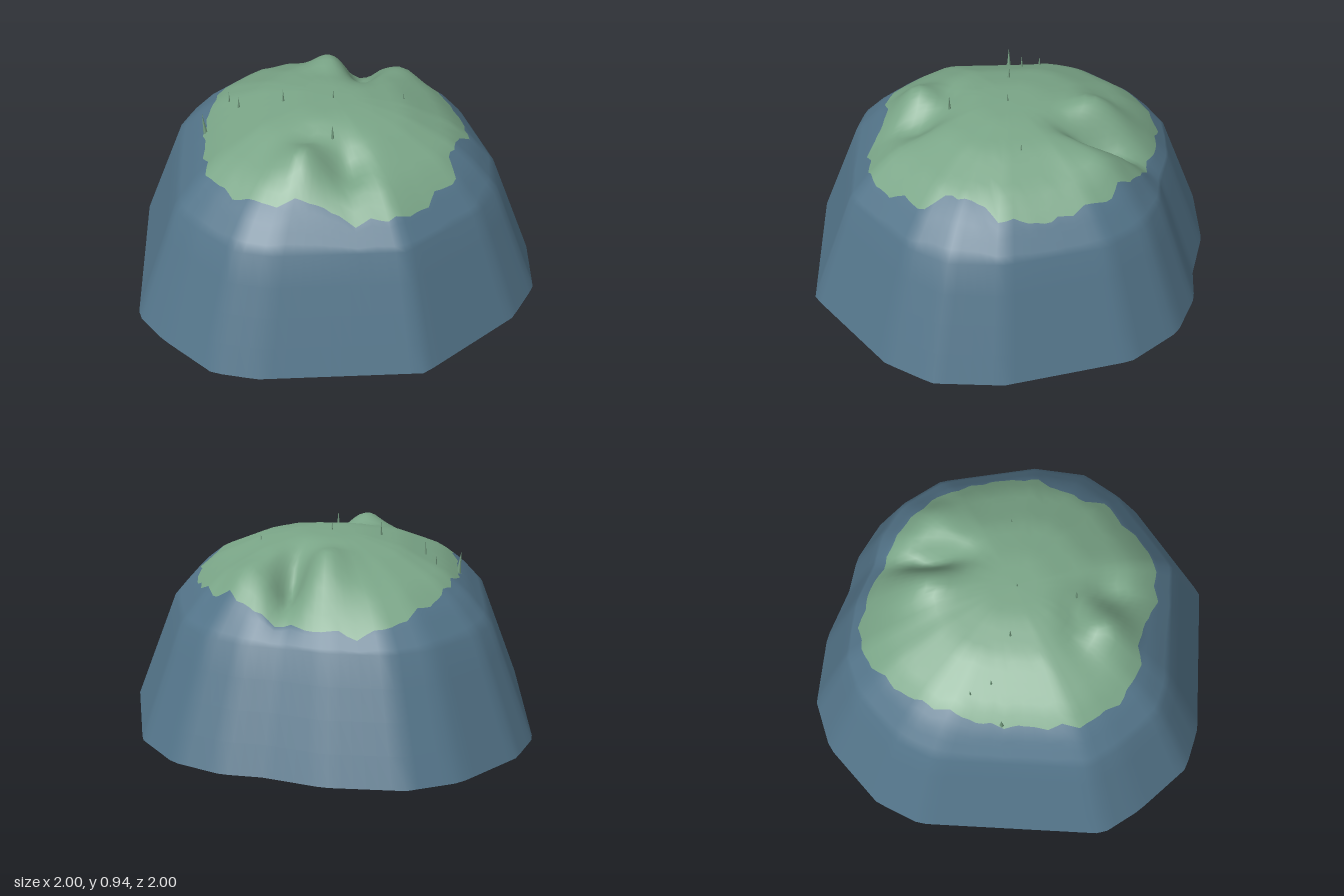
import * as THREE from 'three';

const grass = new THREE.MeshStandardMaterial({ color: 0x7aa587, side: THREE.DoubleSide });
grass.name = 'grass green';
const rock = new THREE.MeshStandardMaterial({ color: 0x537489, side: THREE.DoubleSide });
rock.name = 'slate blue';

// Outlines as [x, z] corners around the hill
const base = [[1, 0], [0.995, 0.33], [0.87, 0.56], [0.43, 0.95], [-0.33, 1], [-0.54, 0.96], [-0.79, 0.74],
  [-0.93, 0.57], [-1, -0.36], [-0.92, -0.59], [-0.67, -0.88], [-0.44, -0.99], [-0.08, -1], [0.2, -0.93],
  [0.39, -0.92], [0.63, -0.82], [0.83, -0.59]];
const grassEdge = [[0.66, 0.02], [0.61, 0.1], [0.55, 0.25], [0.57, 0.39], [0.48, 0.47], [0.38, 0.61], [0.25, 0.66],
  [0.1, 0.68], [0, 0.65], [-0.1, 0.61], [-0.25, 0.63], [-0.4, 0.58], [-0.5, 0.49], [-0.58, 0.38], [-0.61, 0.2],
  [-0.63, -0.05], [-0.6, -0.22], [-0.55, -0.42], [-0.45, -0.58], [-0.33, -0.7], [-0.18, -0.735], [0, -0.71],
  [0.14, -0.66], [0.27, -0.63], [0.5, -0.45], [0.63, -0.2]];

// Distance from the centre to an outline along an angle
function reach(outline, angle) {
  const c = Math.cos(angle), s = Math.sin(angle);
  for (let i = 0; i < outline.length; i++) {
    const [ax, az] = outline[i], [bx, bz] = outline[(i + 1) % outline.length];
    const ex = bx - ax, ez = bz - az;
    const det = c * ez - s * ex;
    const u = (s * ax - c * az) / det;
    const r = (ax * ez - az * ex) / det;
    if (r > 0 && u >= -1e-6 && u <= 1 + 1e-6) return r;
  }
  return 1;
}

// Hill height: a stepped profile with bumps and gullies
const profile = [[0, 0.9], [0.16, 0.897], [0.35, 0.86], [0.57, 0.76], [0.68, 0.67], [0.79, 0.545], [1, 0.004]];
const bumps = [ // x, z, height, width, length
  [-0.03, -0.43, 0.07, 0.1, 0.12], [0.14, -0.43, -0.13, 0.07, 0.17], [0.35, -0.44, 0.04, 0.1, 0.14],
  [-0.13, 0.47, 0.075, 0.1, 0.09], [0.07, 0.43, -0.06, 0.09, 0.12], [-0.1, 0.3, -0.03, 0.12, 0.06]];
function height(x, z, t) {
  let k = 1;
  while (k < profile.length - 1 && t > profile[k][0]) k++;
  const [a, ya] = profile[k - 1], [b, yb] = profile[k];
  let y = ya + (yb - ya) * (t - a) / (b - a);
  if (t < 0.95) {
    for (const [bx, bz, h, w, l] of bumps) y += h * Math.exp(-(((x - bx) / w) ** 2) - ((z - bz) / l) ** 2);
  }
  return Math.min(y, 0.9);
}

// Rings from the summit to the foot; grass and rock share one smooth skin
function hill() {
  const sectors = 120, grassRings = 14, slopeRings = 5, footRings = 4;
  const rings = grassRings + slopeRings + footRings;
  const pos = [], index = [];
  for (let j = 0; j <= rings; j++) {
    for (let i = 0; i < sectors; i++) {
      const a = i / sectors * Math.PI * 2;
      const R = reach(base, a);
      const edge = reach(grassEdge, a) / R + 0.007 * Math.sin(a * 23) + 0.005 * Math.sin(a * 37);
      let t;
      if (j <= grassRings) t = edge * Math.max(j / grassRings, 0.001);
      else if (j <= grassRings + slopeRings) t = edge + (0.79 - edge) * (j - grassRings) / slopeRings;
      else t = 0.79 + 0.21 * (j - grassRings - slopeRings) / footRings;
      const x = Math.cos(a) * R * t, z = Math.sin(a) * R * t;
      pos.push(x, height(x, z, t), z);
      if (j < rings) {
        const n = (i + 1) % sectors, p = j * sectors, q = p + sectors;
        index.push(p + i, p + n, q + i, p + n, q + n, q + i);
      }
    }
  }
  const geo = new THREE.BufferGeometry();
  geo.setAttribute('position', new THREE.Float32BufferAttribute(pos, 3));
  geo.setIndex(index);
  geo.computeVertexNormals();
  const split = grassRings * sectors * 6;
  geo.addGroup(0, split, 0);
  geo.addGroup(split, index.length - split, 1);
  const mesh = new THREE.Mesh(geo, [grass, rock]);
  mesh.name = 'hill';
  return mesh;
}

// Thin pointed blade standing at its foot
function blade(name, x, y, z, h, w, leanX = 0, leanZ = 0) {
  const geo = new THREE.ConeGeometry(w, h, 4);
  geo.translate(0, h / 2, 0);
  const mesh = new THREE.Mesh(geo, grass);
  mesh.position.set(x, y, z);
  mesh.rotation.set(leanX, 0, leanZ);
  mesh.name = name;
  return mesh;
}

// Hollow cap under the hill, with a crown of panels and leaves
function innerCap() {
  const group = new THREE.Group();
  group.name = 'innerCap';
  const points = [[0.001, 0.2], [0.2, 0.18], [0.36, 0.12], [0.5, 0.03]].map(p => new THREE.Vector2(...p));
  const cap = new THREE.Mesh(new THREE.LatheGeometry(points, 24), grass);
  cap.name = 'cap';
  group.add(cap);
  const crown = new THREE.Mesh(new THREE.CylinderGeometry(0.23, 0.18, 0.13, 10, 1, true), grass);
  crown.position.y = 0.3;
  crown.name = 'crown';
  group.add(crown);
  for (let i = 0; i < 10; i++) {
    const a = i / 10 * Math.PI * 2, c = Math.cos(a), s = Math.sin(a);
    group.add(blade('leaf', c * 0.27, 0.14, s * 0.27, 0.24, 0.022, s * 0.2, -c * 0.2));
  }
  // Curved strips on the underside
  for (let i = 0; i < 5; i++) {
    const strip = new THREE.Mesh(new THREE.TorusGeometry(0.28, 0.012, 5, 6, 0.45), grass);
    strip.rotation.set(Math.PI / 2, 0, i / 5 * Math.PI * 2);
    strip.position.y = 0.12;
    strip.name = 'strip';
    group.add(strip);
  }
  group.position.set(0.06, 0, 0.06);
  return group;
}

export function createModel() {
  const model = new THREE.Group();
  model.name = 'grassyHill';
  model.add(hill(), innerCap());
  // Grass tips: x, z, top height
  const tips = [[-0.62, 0.02, 0.81], [-0.515, -0.14, 0.835], [-0.46, -0.05, 0.865], [-0.24, 0.01, 0.945],
    [0, 0.01, 0.94], [0, 0.29, 0.925], [0.34, -0.06, 0.89]];
  for (const [x, z, top] of tips) model.add(blade('grassTip', x, top - 0.12, z, 0.12, 0.012, 0, x < -0.6 ? 0.1 : 0));
  return model;
}
